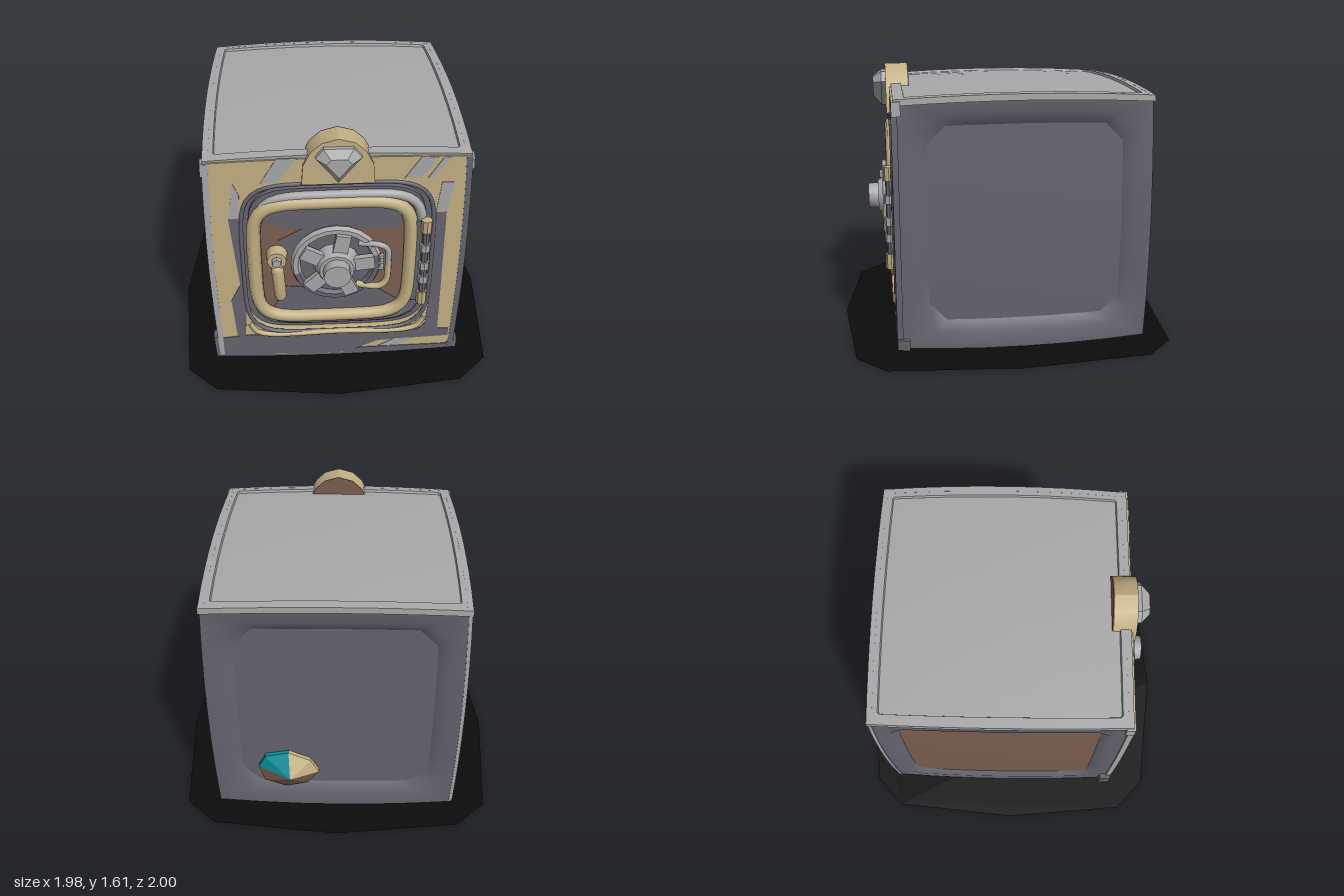
import * as THREE from 'three';
import { toCreasedNormals } from 'three/addons/utils/BufferGeometryUtils.js';

const paint = (name, color, both) => {
  const m = new THREE.MeshStandardMaterial({ color });
  m.name = name;
  if (both) m.side = THREE.DoubleSide;
  return m;
};
const V = (x, y, z) => new THREE.Vector3(x, y, z);
const HALF = 0.715, CY = 0.755, CZ = -0.05, DOOR_Y = 0.77;

export function createModel() {
  const steel = paint('dark steel', 0x65646e), silver = paint('silver', 0xa8a8aa);
  const cream = paint('cream brass', 0xc2af83), brown = paint('brown', 0x7d5f50);
  const teal = paint('teal', 0x078c9a), black = paint('black', 0x0c0c0c, true);
  const root = new THREE.Group();
  root.name = 'safe';

  const add = (name, geo, mat, crease = 0.7) => {
    const mesh = new THREE.Mesh(crease ? toCreasedNormals(geo, crease) : geo, mat);
    mesh.name = name;
    root.add(mesh);
    return mesh;
  };

  // Swells the box gently between its corners; the front stays flat
  const bulge = (geo) => {
    const p = geo.attributes.position;
    for (let i = 0; i < p.count; i++) {
      const x = p.getX(i), y = p.getY(i), z = p.getZ(i);
      const u = x / HALF, v = (y - CY) / HALF, w = (z - CZ) / HALF;
      p.setXYZ(i, x + 0.035 * u * (1 - (v * v + w * w) / 2),
        y + 0.045 * v * (1 - (u * u + w * w) / 2),
        z + (w < 0 ? 0.025 * w * (1 - (u * u + v * v) / 2) : 0));
    }
    geo.computeVertexNormals();
    return geo;
  };

  // Square ring with cut corners, counter-clockwise
  const ring = (h, c, z, n = 6) => {
    const k = [[h, c - h], [h, h - c], [h - c, h], [c - h, h], [-h, h - c], [-h, c - h], [c - h, -h], [h - c, -h]];
    const out = [];
    k.forEach((a, i) => {
      const b = k[(i + 1) % 8], steps = i % 2 ? 1 : n;
      for (let s = 0; s < steps; s++) {
        out.push(V(a[0] + (b[0] - a[0]) * s / steps, a[1] + (b[1] - a[1]) * s / steps, z));
      }
    });
    return out;
  };
  const loft = (rings) => {
    const pos = [];
    for (let r = 0; r + 1 < rings.length; r++) {
      const a = rings[r], b = rings[r + 1];
      a.forEach((p, i) => {
        const j = (i + 1) % a.length;
        for (const q of [p, a[j], b[i], a[j], b[j], b[i]]) pos.push(q.x, q.y, q.z);
      });
    }
    const g = new THREE.BufferGeometry();
    g.setAttribute('position', new THREE.Float32BufferAttribute(pos, 3));
    return g;
  };

  // One side of the box: a frame and a sunken panel
  const side = (name, rx, ry, frameMat, floorMat, edge, inner, cut, depth) => {
    const place = (g) => bulge(g.rotateX(rx).rotateY(ry).translate(0, CY, CZ));
    const d = HALF - depth;
    add(name + 'Frame', place(loft([ring(HALF, 0.001, HALF), ring(edge, cut, HALF), ring(inner, cut, d)])), frameMat);
    const floor = [1, 0.8, 0.6, 0.4, 0.2, 0].map((s) => ring(inner * s, cut * s, d));
    add(name + 'Panel', place(loft(floor)), floorMat);
  };
  const H = Math.PI / 2;
  side('leftSide', 0, H, steel, steel, 0.61, 0.55, 0.1, 0.04);
  side('rightSide', 0, -H, steel, brown, 0.61, 0.57, 0.07, 0.03);
  side('back', 0, Math.PI, steel, steel, 0.61, 0.55, 0.1, 0.04);
  side('top', -H, 0, silver, silver, 0.665, 0.66, 0.01, 0.015);
  side('bottom', H, 0, steel, steel, 0.6, 0.5, 0.05, 0);

  // Edge trims
  const bar = (name, mat, x, y, z, w, h, d) =>
    add(name, bulge(new THREE.BoxGeometry(w, h, d, w > 1 ? 8 : 1, h > 1 ? 8 : 1, d > 1 ? 8 : 1).translate(x, y, z)), mat, 0.5);
  for (const s of [-1, 1]) {
    bar('lidSideTrim', silver, s * 0.708, 1.453, CZ, 0.032, 0.035, 1.45);
    bar('lidTrim', silver, 0, 1.453, CZ + s * 0.71, 1.45, 0.035, 0.03);
    bar('frontEdge', s > 0 ? steel : silver, s * 0.71, CY, 0.67, 0.034, 1.4, 0.034);
    bar('frontFoot', steel, s * 0.715, s < 0 ? 0.12 : 0.07, 0.65, 0.07, s < 0 ? 0.16 : 0.06, 0.07);
    bar('topCorner', silver, s * 0.712, 1.42, 0.66, 0.05, 0.08, 0.05);
  }
  bar('bottomFrontTrim', steel, 0, 0.06, 0.665, 1.42, 0.04, 0.04);
  bar('backEdge', silver, -0.71, CY, -0.76, 0.02, 1.4, 0.02);

  // Rounded rectangle path
  const loop = (cx, cy, a, b, z, n = 48) => Array.from({ length: n }, (_, i) => {
    const t = (i + 0.5) / n * Math.PI * 2, c = Math.cos(t), s = Math.sin(t);
    return V(cx + a * Math.sign(c) * Math.abs(c) ** 0.38, cy + b * Math.sign(s) * Math.abs(s) ** 0.38, z);
  });
  const slab = (pts, z0, z1, hole) => {
    const shape = new THREE.Shape(pts.map((p) => new THREE.Vector2(p.x, p.y)));
    if (hole) shape.holes.push(new THREE.Path(hole.map((p) => new THREE.Vector2(p.x, p.y))));
    return new THREE.ExtrudeGeometry(shape, { depth: z1 - z0, bevelEnabled: false }).translate(0, 0, z0);
  };
  const poly = (list) => list.map(([x, y]) => V(x, y, 0));

  // Front frame with worn paint patches
  const outline = ring(0.705, 0.02, 0).map((p) => V(p.x * (1.035 - 0.018 * (p.y / HALF) ** 2 - 0.017), CY + p.y * (1.02 - 0.02 * (p.x / HALF) ** 2), 0));
  add('frontFrame', slab(outline, 0.61, 0.685, loop(0, DOOR_Y, 0.545, 0.545, 0)), cream, 0.4);
  const patch = (mat, ...list) => add('paintPatch', slab(poly(list), 0.684, 0.689), mat, 0.4);
  patch(steel, [-0.7, 0.06], [0.1, 0.06], [0.25, 0.13], [0.69, 0.15], [0.69, 0.21], [-0.55, 0.215], [-0.7, 0.2]);
  patch(steel, [0.1, 0.06], [0.69, 0.06], [0.69, 0.08], [0.14, 0.075]);
  patch(steel, [-0.56, 0.21], [-0.548, 0.4], [-0.548, 1.1], [-0.61, 1.1], [-0.57, 0.62], [-0.63, 0.5], [-0.61, 0.21]);
  patch(steel, [0.5, 0.21], [0.62, 0.21], [0.61, 1.1], [0.548, 1.1], [0.548, 0.4], [0.54, 0.26]);
  patch(silver, [-0.42, 1.33], [-0.33, 1.33], [-0.22, 1.48], [-0.33, 1.48]);
  patch(silver, [0.36, 1.33], [0.45, 1.33], [0.54, 1.46], [0.45, 1.47]);
  patch(silver, [0.49, 1.33], [0.52, 1.33], [0.61, 1.46], [0.57, 1.46]);
  patch(silver, [-0.61, 1.1], [-0.55, 1.1], [-0.54, 1.25], [-0.57, 1.33]);
  patch(silver, [0.55, 1.1], [0.61, 1.1], [0.64, 1.3], [0.57, 1.3]);
  patch(silver, [0.25, 0.08], [0.38, 0.08], [0.48, 0.14], [0.36, 0.14]);

  // Door slab, lip and rings
  const tube = (name, mat, pts, r, closed) =>
    add(name, new THREE.TubeGeometry(new THREE.CatmullRomCurve3(pts, closed), closed ? 80 : 28, r, 8, closed), mat, 0.9);
  add('doorRecess', slab(loop(0, DOOR_Y, 0.56, 0.56, 0), 0.6, 0.63), steel, 0.4);
  add('door', slab(loop(0, DOOR_Y, 0.51, 0.5, 0), 0.63, 0.66), steel, 0.4);
  tube('openingLip', steel, loop(0, DOOR_Y, 0.545, 0.545, 0.682), 0.013, true);
  tube('openingLowerLip', cream, [V(-0.53, 0.32, 0.69), V(-0.48, 0.24, 0.69), V(0, 0.225, 0.69), V(0.48, 0.24, 0.69), V(0.53, 0.32, 0.69)], 0.016, false);
  const outer = loop(0.01, DOOR_Y, 0.475, 0.455, 0.665);
  tube('silverDoorRing', silver, outer.slice(0, 24), 0.028, false);
  tube('darkDoorRing', steel, [...outer.slice(23), outer[0]], 0.028, false);
  tube('creamDoorRing', cream, loop(-0.03, DOOR_Y, 0.45, 0.415, 0.677), 0.04, true);

  // Worn centre panel
  add('doorPanel', slab(loop(-0.03, DOOR_Y, 0.43, 0.4, 0), 0.655, 0.664), brown, 0.4);
  const wear = (...list) => add('panelWear', slab(poly(list), 0.662, 0.668), steel, 0.4);
  wear([-0.4, 1.03], [-0.2, 1], [0.36, 0.98], [0.36, 1.1], [0.28, 1.16], [-0.34, 1.16], [-0.4, 1.1]);
  wear([-0.38, 0.42], [-0.3, 0.39], [0.25, 0.38], [0.36, 0.45], [0.25, 0.53], [0.12, 0.58], [-0.1, 0.56], [-0.3, 0.58]);
  wear([-0.34, 0.92], [-0.2, 0.7], [-0.1, 0.55], [0.14, 0.57], [0.2, 0.8], [0.1, 1], [-0.2, 1]);

  // Combination dial
  const cyl = (name, mat, x, y, z0, z1, r0, r1, n) =>
    add(name, new THREE.CylinderGeometry(r1, r0, z1 - z0, n).rotateX(H).translate(x, y, (z0 + z1) / 2), mat, 0.6);
  const dx = -0.01;
  cyl('dialDisc', steel, dx, DOOR_Y, 0.66, 0.69, 0.23, 0.22, 20);
  for (const [mat, turn] of [[silver, 0.25], [steel, 0.25 + Math.PI]]) {
    add('dialRing', new THREE.TorusGeometry(0.235, 0.028, 6, 12, Math.PI).rotateZ(turn).translate(dx, DOOR_Y, 0.695), mat, 0.9);
  }
  for (let i = 0; i < 5; i++) {
    add('dialSpoke', new THREE.BoxGeometry(0.13, 0.085, 0.035).translate(0.155, 0, 0)
      .rotateZ(0.12 + i * Math.PI * 0.4).translate(dx, DOOR_Y, 0.725), silver, 0.4);
  }
  cyl('dialHub', silver, dx, DOOR_Y, 0.69, 0.77, 0.135, 0.1, 14);
  cyl('dialKnob', silver, dx, DOOR_Y, 0.77, 0.83, 0.08, 0.078, 12);

  // Pull loop beside the dial
  tube('upperPull', silver, [V(0.12, 0.91, 0.7), V(0.24, 0.91, 0.725), V(0.28, 0.88, 0.725), V(0.29, 0.76, 0.725)], 0.018, false);
  tube('lowerPull', cream, [V(0.29, 0.77, 0.725), V(0.28, 0.65, 0.725), V(0.24, 0.61, 0.725), V(0.11, 0.61, 0.7)], 0.02, false);
  for (const y of [0.73, 0.77, 0.81]) add('pullRib', new THREE.BoxGeometry(0.07, 0.018, 0.03).translate(0.23, y, 0.7), silver, 0.4);

  // Lever handle
  cyl('leverPivot', cream, -0.35, 0.825, 0.66, 0.735, 0.062, 0.055, 12);
  cyl('leverNut', silver, -0.35, 0.825, 0.735, 0.76, 0.032, 0.028, 6);
  add('leverBar', new THREE.CapsuleGeometry(0.036, 0.19, 4, 8).rotateZ(0.06).translate(-0.343, 0.655, 0.72), cream, 0.9);

  // Hinge
  add('hingePin', new THREE.CylinderGeometry(0.022, 0.022, 0.56, 8).translate(0.5, 0.755, 0.705), steel);
  add('hingeLeaf', new THREE.BoxGeometry(0.05, 0.58, 0.02).translate(0.46, 0.755, 0.69), steel, 0.4);
  for (const [y, h, mat] of [[1.02, 0.08, cream], [0.87, 0.05, silver], [0.74, 0.05, silver], [0.64, 0.05, silver], [0.5, 0.09, cream]]) {
    add('hingeKnuckle', new THREE.CylinderGeometry(0.032, 0.032, h, 8).translate(0.5, y, 0.705), mat);
  }

  // Crest with brown rear face and cut gem
  const crest = poly([[-0.2, 1.32], [0.2, 1.32], [0.19, 1.44], [0.15, 1.52], [0.09, 1.575], [0, 1.6], [-0.09, 1.575], [-0.15, 1.52], [-0.19, 1.44]]);
  add('crest', slab(crest, 0.575, 0.705), cream, 0.5);
  add('crestBack', slab(crest, 0.567, 0.575), brown, 0.5);
  const gem = (s, z) => [[0.125, 1.5], [0.08, 1.555], [-0.08, 1.555], [-0.125, 1.5], [0, 1.345]]
    .map(([x, y]) => V(x * s, 1.475 + (y - 1.475) * s, z));
  add('gem', loft([gem(1, 0.7), gem(1, 0.73), gem(0.55, 0.78), gem(0, 0.78)]), silver, 0.2);

  // Faceted stone on the back, coloured by facet
  const rim = [[0.46, 0.33], [0.42, 0.41], [0.28, 0.44], [0.15, 0.38], [0.1, 0.29], [0.17, 0.2], [0.3, 0.17], [0.43, 0.22]];
  const facets = (mat, from, to) => {
    const pos = [];
    for (let i = from; i < to; i++) {
      const a = rim[i], b = rim[(i + 1) % 8];
      pos.push(0.27, 0.3, -0.85, ...b, -0.77, ...a, -0.77);
      pos.push(...a, -0.77, ...b, -0.77, ...b, -0.72, ...a, -0.77, ...b, -0.72, ...a, -0.72);
    }
    const g = new THREE.BufferGeometry();
    g.setAttribute('position', new THREE.Float32BufferAttribute(pos, 3));
    g.computeVertexNormals();
    add('backStone', g, mat, 0);
  };
  facets(teal, 0, 2);
  facets(cream, 2, 4);
  facets(brown, 4, 8);

  // Flat black ground plate
  const base = [[0, 1], [-0.74, 0.92], [-0.92, 0.75], [-0.99, 0], [-0.92, -0.75], [-0.74, -0.92], [0, -1], [0.74, -0.92], [0.92, -0.75], [0.99, 0], [0.92, 0.75], [0.74, 0.92]];
  add('groundPlate', new THREE.ShapeGeometry(new THREE.Shape(base.map(([x, y]) => new THREE.Vector2(x, y)))).rotateX(-H).translate(0, 0.004, 0), black, 0);
  return root;
}
